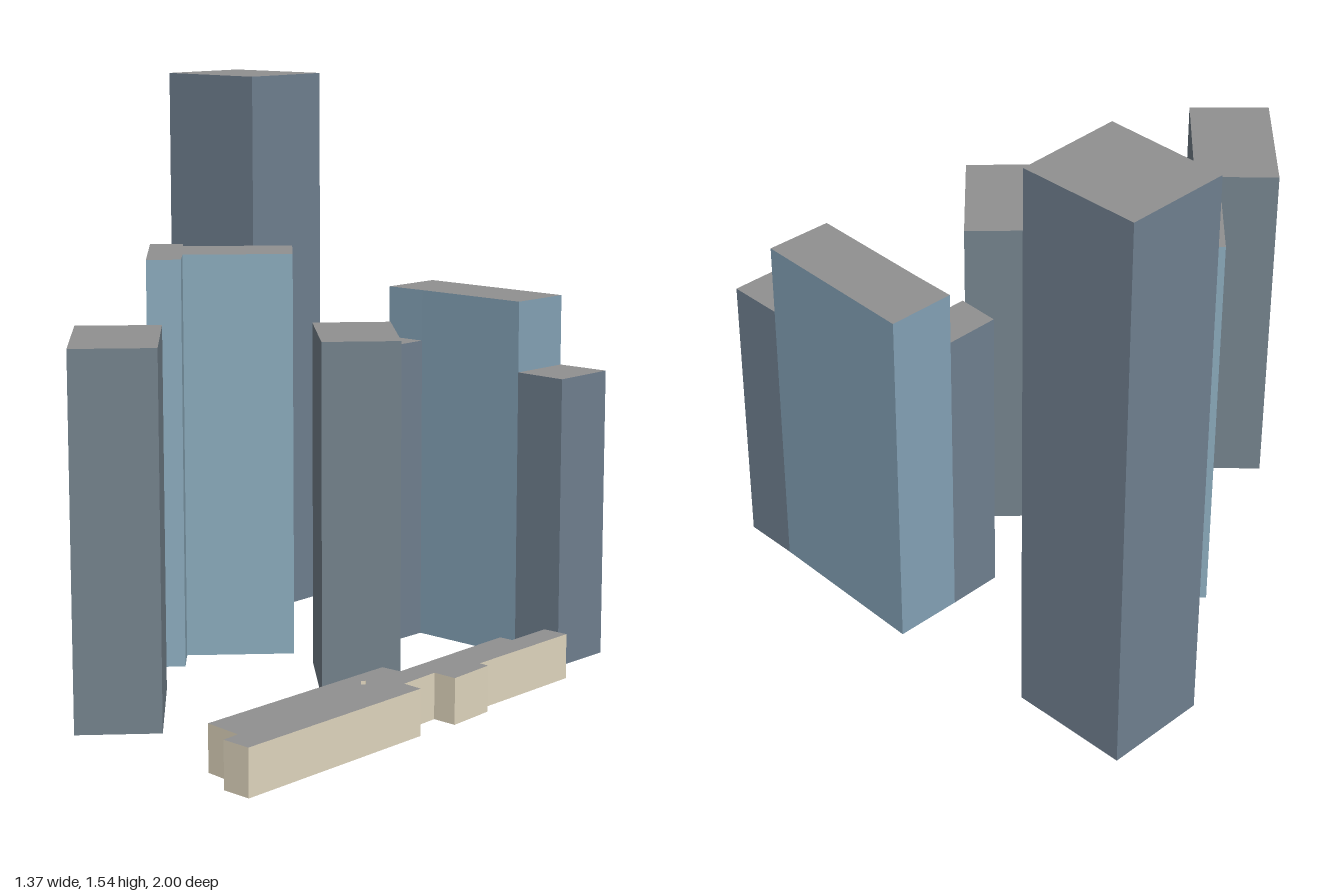
import * as THREE from 'three';

const material = (color) => new THREE.MeshStandardMaterial({ color, flatShading: true, side: THREE.DoubleSide });

const slate = material(0x708090);
const grey = material(0x74828c);
const paleBlue = material(0x8aaabb);
const steelBlue = material(0x84a2b6);
const sand = material(0xe2d8c0);
const roofGrey = material(0x909090);

// Walls rise from a footprint of [x, z] corners, clockwise seen from above; open at the bottom
function wallGeometry(corners, bottom, top) {
  const positions = [];
  corners.forEach(([ax, az], i) => {
    const [bx, bz] = corners[(i + 1) % corners.length];
    positions.push(bx, bottom, bz, ax, bottom, az, ax, top, az);
    positions.push(bx, bottom, bz, ax, top, az, bx, top, bz);
  });
  const geometry = new THREE.BufferGeometry();
  geometry.setAttribute('position', new THREE.Float32BufferAttribute(positions, 3));
  geometry.computeVertexNormals();
  return geometry;
}

function roofGeometry(corners, height) {
  const shape = new THREE.Shape(corners.map(([x, z]) => new THREE.Vector2(x, -z)));
  return new THREE.ShapeGeometry(shape).rotateX(-Math.PI / 2).translate(0, height, 0);
}

function building(name, wallMaterial, corners, top, bottom = 0) {
  const group = new THREE.Group();
  group.name = name;
  const walls = new THREE.Mesh(wallGeometry(corners, bottom, top), wallMaterial);
  walls.name = name + 'Walls';
  const roof = new THREE.Mesh(roofGeometry(corners, top), roofGrey);
  roof.name = name + 'Roof';
  group.add(walls, roof);
  return group;
}

export function createModel() {
  const model = new THREE.Group();
  model.name = 'cityBlock';

  // Tallest tower at the back
  model.add(building('tallTower', slate,
    [[-0.35, -1], [-0.1, -0.8], [-0.28, -0.58], [-0.53, -0.79]], 1.54));

  // T-shaped block
  model.add(building('tBlock', paleBlue, [
    [-0.55, -0.38], [-0.46, -0.39], [-0.455, -0.335], [-0.16, -0.36],
    [-0.15, -0.17], [-0.44, -0.145], [-0.435, -0.04], [-0.525, -0.03],
  ], 1.095));

  // Long slab with a lower end and a lower wing
  const slab = new THREE.Group();
  slab.name = 'slabBlock';
  slab.add(
    building('slabMain', steelBlue,
      [[0.225, -0.595], [0.57, -0.295], [0.45, -0.165], [0.195, -0.385], [0.105, -0.46]], 0.97),
    building('slabLowEnd', slate,
      [[0.57, -0.295], [0.685, -0.2], [0.56, -0.06], [0.45, -0.165]], 0.78),
    building('slabWing', slate,
      [[0.105, -0.46], [0.195, -0.385], [0.095, -0.275], [0.01, -0.35]], 0.83),
  );
  model.add(slab);

  // Two plain towers
  model.add(building('centreTower', grey,
    [[-0.095, -0.08], [0.11, -0.1], [0.14, 0.225], [-0.06, 0.245]], 0.925));
  model.add(building('sideTower', grey,
    [[-0.685, 0.185], [-0.465, 0.17], [-0.44, 0.535], [-0.655, 0.555]], 0.955));

  // Low building with stepped sides
  model.add(building('lowBuilding', sand, [
    [0.52, 0], [0.575, 0.045], [0.34, 0.32], [0.36, 0.34], [0.275, 0.45], [0.225, 0.405],
    [0.15, 0.5], [0.19, 0.54], [-0.2, 1], [-0.26, 0.945], [-0.23, 0.905], [-0.305, 0.825],
    [0.095, 0.36], [0.14, 0.395], [0.4, 0.08], [0.43, 0.105],
  ], 0.12));

  // Small vent on its roof
  model.add(building('roofVent', sand,
    [[0.044, 0.499], [0.056, 0.499], [0.056, 0.511], [0.044, 0.511]], 0.13, 0.12));

  return model;
}
